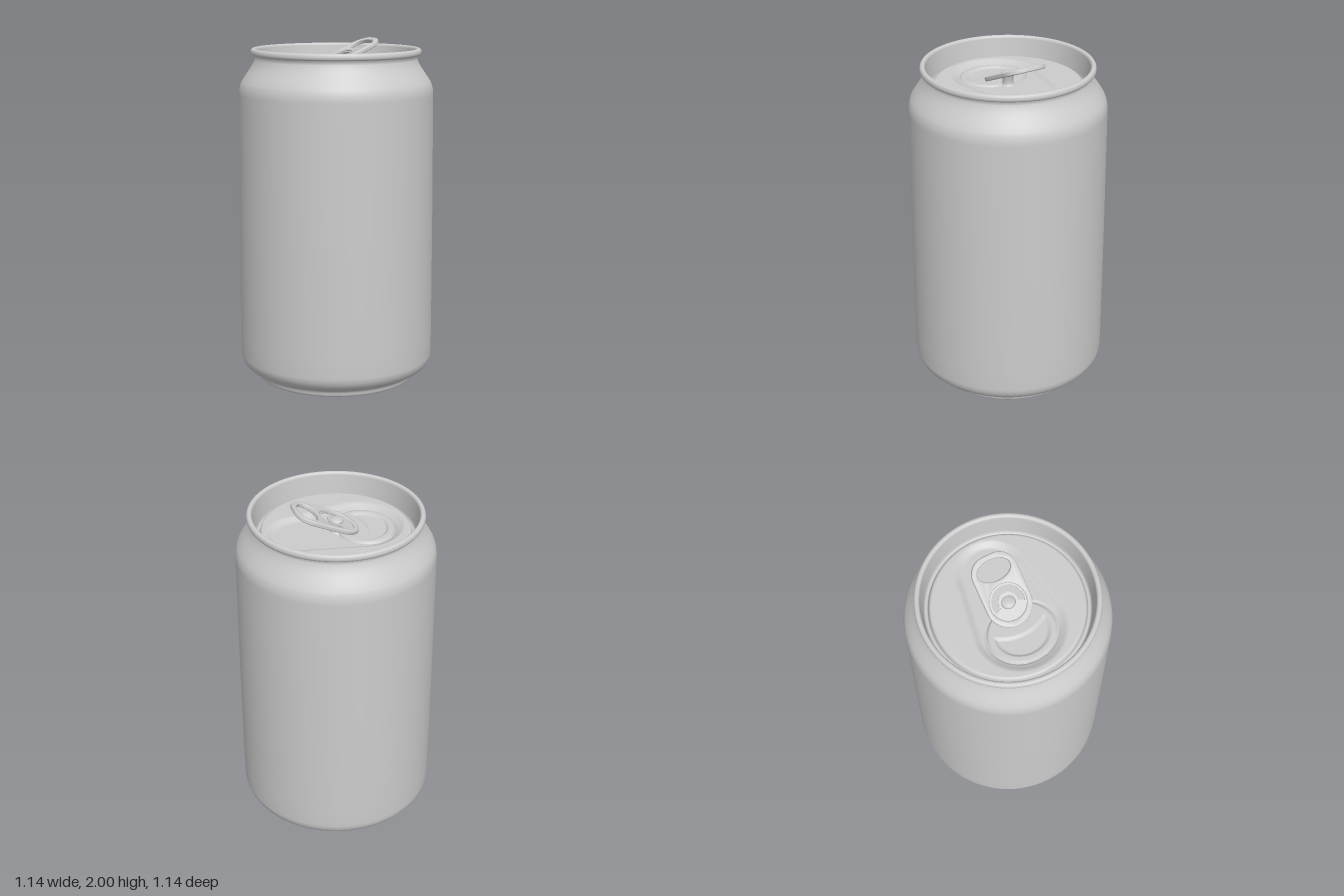
import * as THREE from 'three';
import { mergeVertices, toCreasedNormals } from 'three/addons/utils/BufferGeometryUtils.js';

const material = new THREE.MeshStandardMaterial({ color: 0xcccccc, side: THREE.DoubleSide });
const TAB_ANGLE = THREE.MathUtils.degToRad(40);
const TAB_TILT = 0.42;
const smooth = THREE.MathUtils.smoothstep;

function add(parent, name, geometry) {
  const mesh = new THREE.Mesh(geometry, material);
  mesh.name = name;
  parent.add(mesh);
  return mesh;
}

// Wall, domed base, neck and rolled rim in one turned profile
function bodyGeometry() {
  const p = new THREE.Path();
  p.moveTo(0, 0.2);
  p.bezierCurveTo(0.2, 0.2, 0.36, 0.13, 0.42, 0.03);
  p.quadraticCurveTo(0.432, 0, 0.447, 0);
  p.quadraticCurveTo(0.465, 0, 0.467, 0.02);
  p.quadraticCurveTo(0.47, 0.045, 0.5, 0.052);
  p.quadraticCurveTo(0.562, 0.075, 0.567, 0.14);
  p.lineTo(0.569, 0.25);
  p.lineTo(0.567, 0.9);
  p.lineTo(0.561, 1.68);
  p.quadraticCurveTo(0.562, 1.72, 0.545, 1.755);
  p.bezierCurveTo(0.515, 1.81, 0.47, 1.85, 0.463, 1.905);
  p.lineTo(0.482, 1.907);
  p.quadraticCurveTo(0.492, 1.91, 0.492, 1.925);
  p.quadraticCurveTo(0.49, 1.945, 0.475, 1.945);
  p.quadraticCurveTo(0.463, 1.945, 0.46, 1.93);
  p.lineTo(0.447, 1.815);
  p.quadraticCurveTo(0.443, 1.795, 0.433, 1.795);
  p.quadraticCurveTo(0.422, 1.795, 0.42, 1.815);
  p.quadraticCurveTo(0.418, 1.84, 0.4, 1.84);
  return new THREE.LatheGeometry(p.getPoints(7), 80);
}

// Height of the lid panel; u runs along the tab, v across it
function lidHeight(x, z) {
  const u = x * Math.cos(TAB_ANGLE) - z * Math.sin(TAB_ANGLE);
  const v = x * Math.sin(TAB_ANGLE) + z * Math.cos(TAB_ANGLE);
  // Tapered recess around tab and opening
  const t = THREE.MathUtils.clamp((u + 0.13) / 0.33, 0, 1);
  const recess = Math.hypot(u + 0.13 - 0.33 * t, v) - (0.23 - 0.06 * t);
  let y = 1.84 - 0.02 * (1 - smooth(recess, -0.02, 0.03));
  // Scored edge of the mouth panel
  const mouth = (Math.hypot((u + 0.165) / 0.17, v / 0.195) - 1) * 0.18;
  y -= 0.008 * (1 - smooth(Math.abs(mouth), 0.002, 0.009));
  y += 0.005 * (1 - smooth(mouth, -0.012, -0.002));
  // Sunken crescent inside the mouth panel
  const inner = (Math.hypot((u + 0.165) / 0.13, v / 0.15) - 1) * 0.14;
  const crescent = Math.max(inner, 0.175 - Math.hypot(u, v * 0.8));
  y -= 0.011 * (1 - smooth(crescent, -0.012, 0.006));
  return y;
}

function lidGeometry() {
  const rings = 80;
  const profile = [];
  for (let i = 0; i <= rings; i++) profile.push(new THREE.Vector2(0.401 * (1 - i / rings), 0));
  let g = new THREE.LatheGeometry(profile, 160);
  const pos = g.attributes.position;
  for (let i = 0; i < pos.count; i++) pos.setY(i, lidHeight(pos.getX(i), pos.getZ(i)));
  g.deleteAttribute('uv');
  g.deleteAttribute('normal');
  g = mergeVertices(g, 1e-5);
  g.computeVertexNormals();
  return g;
}

// Plate lying flat, centred on y = 0
function plate(shape, thickness, bevel) {
  const g = new THREE.ExtrudeGeometry(shape, {
    depth: thickness - 2 * bevel, curveSegments: 24, bevelEnabled: bevel > 0,
    bevelThickness: bevel, bevelSize: bevel, bevelOffset: -bevel, bevelSegments: 4,
  });
  g.translate(0, 0, -(thickness - 2 * bevel) / 2);
  g.rotateX(-Math.PI / 2);
  return toCreasedNormals(g, 0.7);
}

function createTab() {
  const tab = new THREE.Group();
  tab.name = 'pullTab';

  // Outer frame with finger hole and rivet hole
  const frame = new THREE.Shape();
  frame.absarc(-0.01, 0, 0.127, Math.PI / 2, Math.PI * 1.5, false);
  frame.absarc(0.168, -0.027, 0.1, -Math.PI / 2, 0, false);
  frame.absarc(0.168, 0.027, 0.1, 0, Math.PI / 2, false);
  frame.closePath();
  const finger = new THREE.Path();
  finger.absellipse(0.182, 0, 0.057, 0.094, 0, Math.PI * 2, true);
  const well = new THREE.Path();
  well.absarc(0, 0, 0.1, 0, Math.PI * 2, true);
  frame.holes.push(finger, well);
  add(tab, 'tabFrame', plate(frame, 0.026, 0.009));

  // Thin web holding the rivet, cut by a curved slot
  const web = new THREE.Shape();
  web.absarc(0, 0, 0.108, 0, Math.PI * 2, false);
  const slot = new THREE.Path();
  slot.absarc(0, 0, 0.09, -1.9, 1.9, false);
  slot.absarc(0, 0, 0.053, 1.9, -1.9, true);
  slot.closePath();
  web.holes.push(slot);
  add(tab, 'tabWeb', plate(web, 0.008, 0));

  tab.position.y = 1.88;
  tab.rotation.set(0, TAB_ANGLE, TAB_TILT);
  return tab;
}

export function createModel() {
  const can = new THREE.Group();
  can.name = 'drinkCan';
  add(can, 'canBody', bodyGeometry());
  add(can, 'lid', lidGeometry());
  can.add(createTab());

  // Rivet: stem with a domed head
  const rivet = new THREE.Path();
  rivet.moveTo(0.05, 1.815);
  rivet.quadraticCurveTo(0.03, 1.82, 0.03, 1.84);
  rivet.lineTo(0.03, 1.878);
  rivet.lineTo(0.041, 1.88);
  rivet.bezierCurveTo(0.041, 1.895, 0.025, 1.902, 0, 1.902);
  add(can, 'rivet', new THREE.LatheGeometry(rivet.getPoints(8), 32));
  return can;
}
